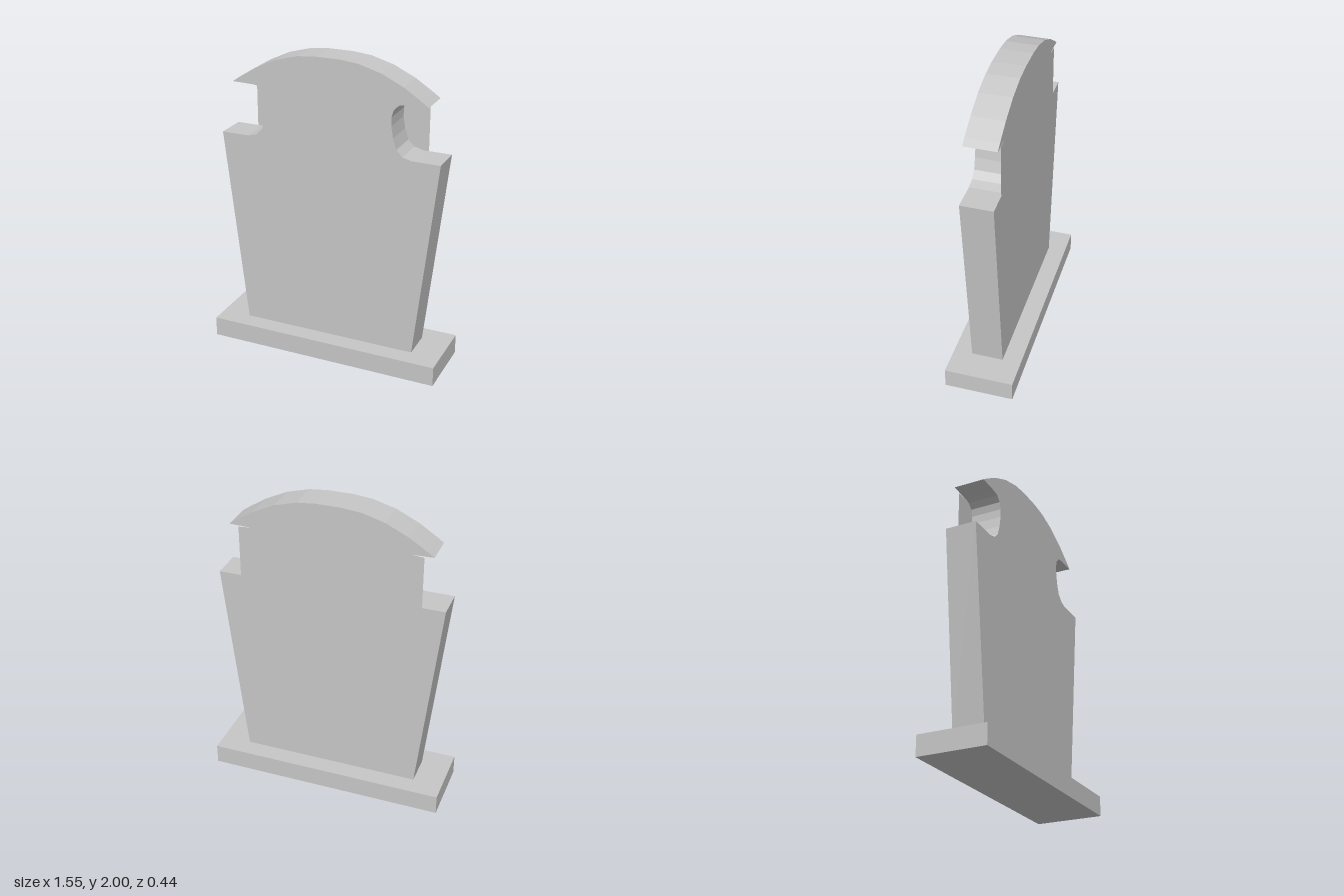
import * as THREE from 'three';

// Half outlines on the +x side, listed from bottom to top
const LOWER_SIDE = [[0.585, 0.13], [0.731, 1.434]];
const NOTCH = [[0.55, 1.434], [0.49, 1.45], [0.45, 1.49], [0.427, 1.56], [0.415, 1.635], [0.415, 1.69], [0.428, 1.735], [0.46, 1.767], [0.5, 1.775]];
const CAP = [[0.644, 1.778], [0.6, 1.809], [0.487, 1.881], [0.345, 1.948], [0.2, 1.988], [0.08, 2]];

const HALF_DEPTH = 0.102;
const toVectors = (points, side = 1) => points.map(([x, y]) => new THREE.Vector2(x * side, y));

export function createModel() {
  const stone = new THREE.MeshStandardMaterial({ color: 0xc6c6c6, side: THREE.DoubleSide });
  stone.name = 'grey stone';
  const model = new THREE.Group();
  model.name = 'headstone';

  const add = (name, geometry, y, z) => {
    const mesh = new THREE.Mesh(geometry, stone);
    mesh.name = name;
    mesh.position.set(0, y, z);
    model.add(mesh);
  };

  // Plinth
  add('base', new THREE.BoxGeometry(1.554, 0.13, 0.444), 0.065, 0);

  // Tapered slab with scooped shoulders and an arched cap
  const half = [...LOWER_SIDE, ...NOTCH, ...CAP];
  const outline = [...toVectors(half), ...toVectors(half, -1).reverse()];
  const slab = new THREE.ExtrudeGeometry(new THREE.Shape(outline), { depth: 2 * HALF_DEPTH, bevelEnabled: false });
  add('slab', slab, 0, -HALF_DEPTH);

  // Thin sheets closing the back of each scoop, with a narrow slit under the cap
  const sheet = [...NOTCH, [0.585, 1.768], [0.585, 1.434]];
  for (const [name, side] of [['leftNotchBack', 1], ['rightNotchBack', -1]]) {
    const shape = new THREE.Shape(toVectors(sheet, side));
    add(name, new THREE.ShapeGeometry(shape), 0, -HALF_DEPTH);
  }

  return model;
}
